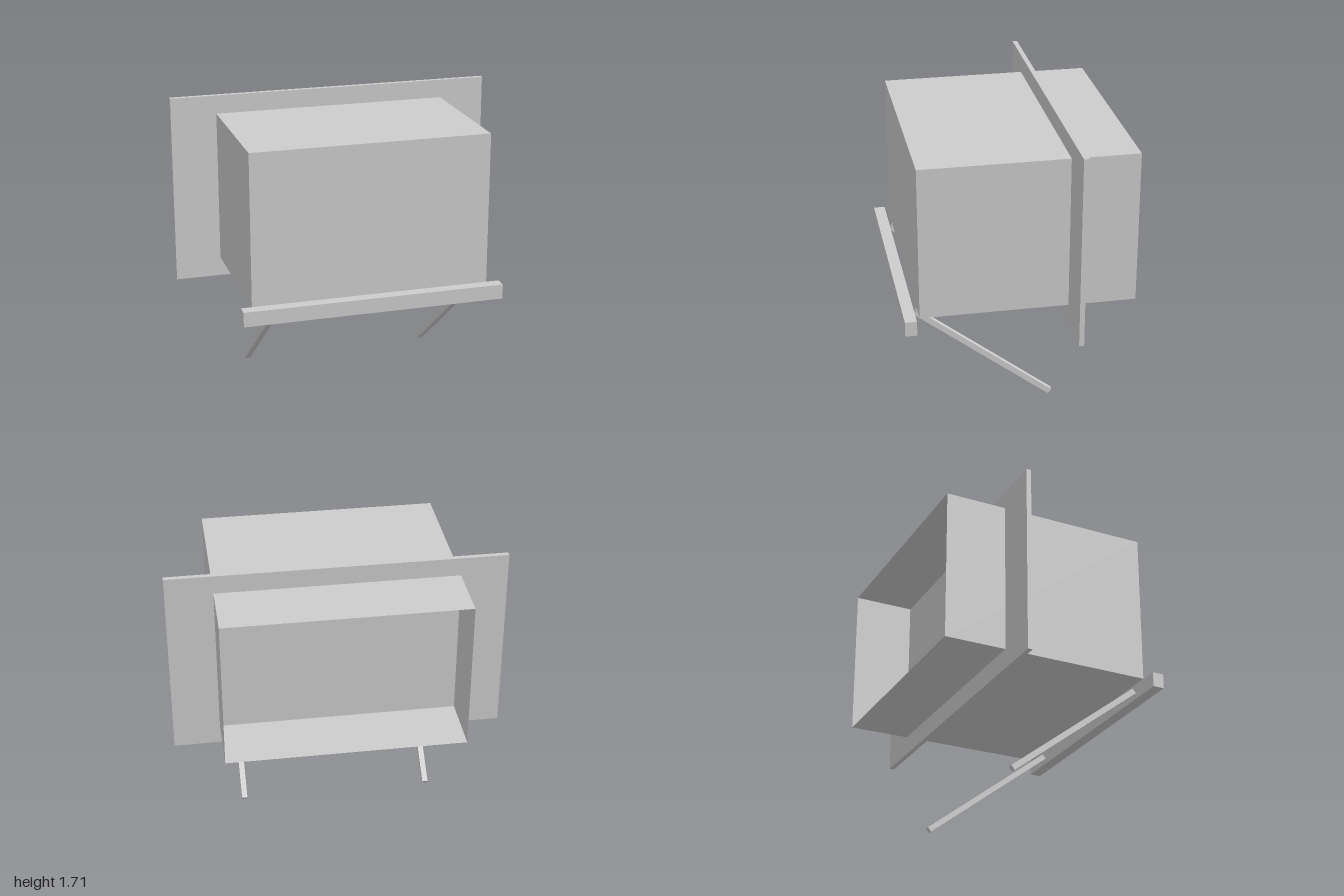
import * as THREE from 'three';

export function createModel() {
  const model = new THREE.Group();
  const grey = new THREE.MeshStandardMaterial({ color: 0xcccccc, side: THREE.DoubleSide });
  grey.name = 'light grey';

  const add = (name, geometry, x, y, z) => {
    const mesh = new THREE.Mesh(geometry, grey);
    mesh.name = name;
    mesh.position.set(x, y, z);
    model.add(mesh);
    return mesh;
  };

  // Thin-walled casing, open at the back: drop the last (rear) side of the box
  const casing = new THREE.BoxGeometry(1.44, 0.93, 1.284);
  casing.setIndex(Array.from(casing.index.array).slice(0, 30));
  casing.clearGroups();
  add('casing', casing, 0, 1.137, -0.047);

  // Mounting panel that closes the wall opening around and inside the casing
  add('mountingPanel', new THREE.BoxGeometry(2, 1.162, 0.03), 0, 1.134, -0.299);

  // Cross rail under the front edge
  add('frontRail', new THREE.BoxGeometry(1.58, 0.09, 0.07), 0, 0.645, 0.654);

  // Slanted support struts, from the rail down to the back
  const top = new THREE.Vector2(0.604, 0.645); // z, y
  const foot = new THREE.Vector2(-0.207, 0.014);
  const run = top.clone().sub(foot);
  for (const [name, side] of [['leftStrut', 1], ['rightStrut', -1]]) {
    const strut = add(name, new THREE.BoxGeometry(0.034, 0.034, run.length()),
      side * 0.581, (top.y + foot.y) / 2, (top.x + foot.x) / 2);
    strut.rotation.x = -Math.atan2(run.y, run.x);
  }

  return model;
}
